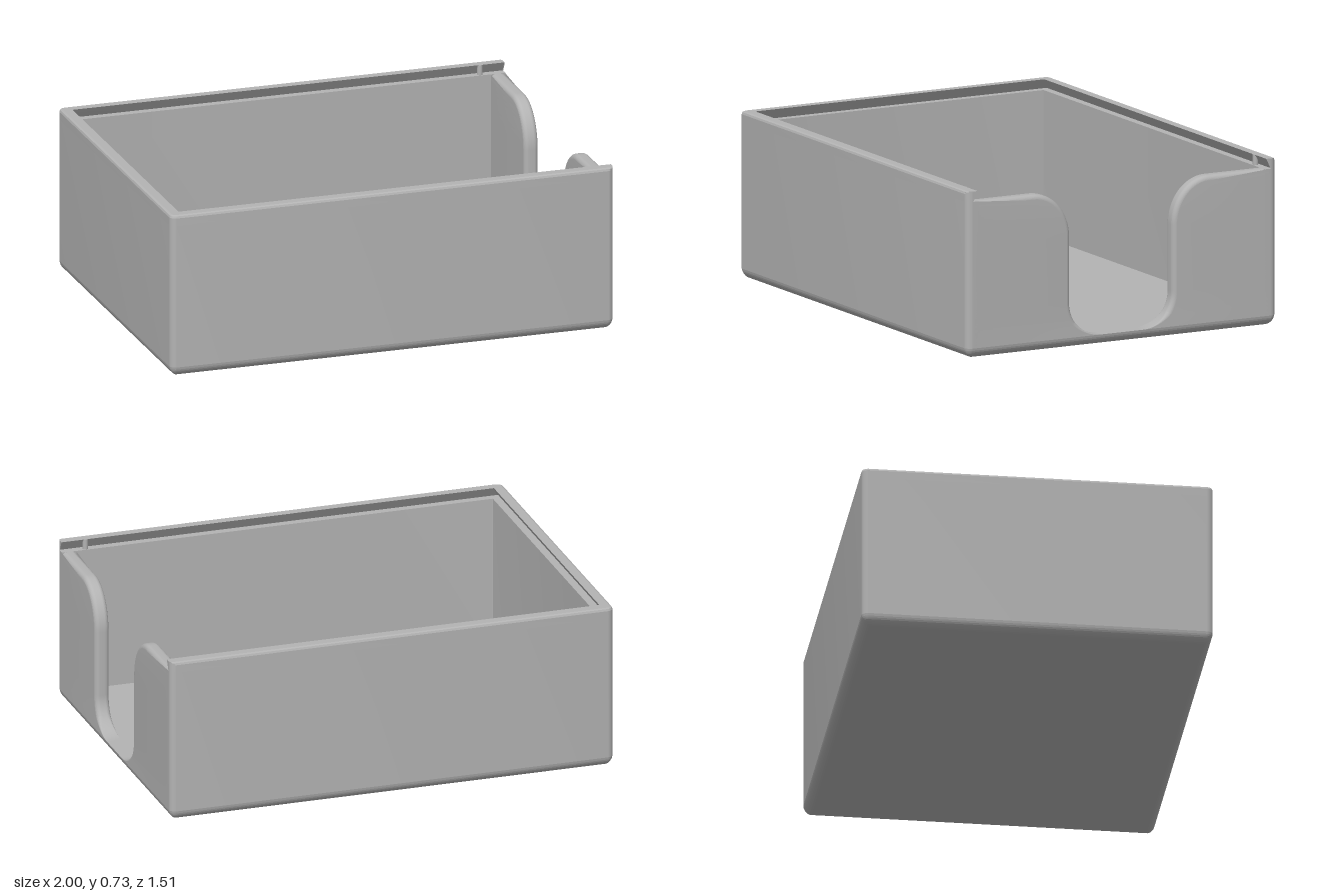
import * as THREE from 'three';
import { toCreasedNormals } from 'three/addons/utils/BufferGeometryUtils.js';

const W = 1, D = 0.757;          // half length and half depth
const FLOOR = 0.045, LEDGE = 0.685, TOP = 0.73;
const WALL = 0.058;              // wall thickness
const R = 0.03;                  // radius of upright corners
const SEG = 10;
const HALF_PI = Math.PI / 2;

// Skin between closed loops of points, turned so that it faces outward.
function loft(rows) {
  const n = rows[0].length;
  const pts = rows.flat();
  const index = [];
  for (let i = 0; i < rows.length - 1; i++) {
    for (let j = 0; j < n; j++) {
      const a = i * n + j, b = i * n + (j + 1) % n;
      index.push(a, b, b + n, a, b + n, a + n);
    }
  }
  const mid = centre(pts);
  const p = pts.map((v) => v.clone().sub(mid));
  let volume = 0;
  for (let i = 0; i < index.length; i += 3) {
    volume += p[index[i]].dot(p[index[i + 1]].clone().cross(p[index[i + 2]]));
  }
  if (volume < 0) index.reverse();
  const geo = new THREE.BufferGeometry().setFromPoints(pts);
  geo.setIndex(index);
  return toCreasedNormals(geo, 0.12);
}

function centre(pts) {
  return pts.reduce((s, v) => s.add(v), new THREE.Vector3()).divideScalar(pts.length);
}

// Close the first and last loop with a fan.
function capped(rows) {
  const fan = (row) => { const c = centre(row); return row.map(() => c.clone()); };
  return [fan(rows[0]), ...rows, fan(rows[rows.length - 1])];
}

// Corner of the plan, inset by d, at angle a.
function cornerPoint(sx, sz, a, d, y) {
  const rad = Math.max(R - d, 0.0005);
  return new THREE.Vector3(
    sx * (W - d - rad + rad * Math.cos(a)), y,
    sz * (D - d - rad + rad * Math.sin(a)));
}

// Floor slab with a rounded lower edge.
function baseGeometry() {
  const ring = (d, y) => {
    const row = [];
    [[1, 1], [-1, 1], [-1, -1], [1, -1]].forEach(([sx, sz]) => {
      for (let k = 0; k <= SEG; k++) {
        const t = sx * sz > 0 ? k : SEG - k;
        row.push(cornerPoint(sx, sz, t / SEG * HALF_PI, d, y));
      }
    });
    return row;
  };
  const rows = [], r = 0.05;
  for (let k = 0; k <= SEG; k++) {
    const a = k / SEG * HALF_PI;
    rows.push(ring(r - r * Math.sin(a), Math.min(r - r * Math.cos(a), FLOOR)));
  }
  return loft(capped(rows));
}

// Sweep a profile of [inset, y] round the front, left and back sides.
function sweepGeometry(profile) {
  const rows = [];
  const end = (sz, k) => {
    const a = k / SEG * HALF_PI, cut = R - R * Math.cos(a);
    rows.push(profile.map(([d, y]) => new THREE.Vector3(
      W - R + R * Math.sin(a), y, sz * (D - Math.max(d, cut)))));
  };
  const corner = (sz, k) => rows.push(profile.map(([d, y]) =>
    cornerPoint(-1, sz, k / SEG * HALF_PI, d, y)));
  for (let k = SEG; k >= 0; k--) end(1, k);
  for (let k = SEG; k >= 0; k--) corner(1, k);
  for (let k = 0; k <= SEG; k++) corner(-1, k);
  for (let k = 0; k <= SEG; k++) end(-1, k);
  return loft(capped(rows));
}

// Half of the open end: from the curved finger cut-out to the side wall.
function endWallGeometry(side) {
  const edge = [], N = 24, zEnd = 0.72, xIn = W - 0.065;
  for (let k = 0; k <= N; k++) {
    const a = -HALF_PI + k / N * HALF_PI;
    edge.push([0.1 + 0.15 * Math.cos(a), FLOOR + 0.15 + 0.15 * Math.sin(a), Math.cos(a), Math.sin(a)]);
  }
  for (let k = 0; k <= N; k++) {
    const a = k / N * HALF_PI;
    edge.push([0.43 - 0.18 * Math.cos(a), 0.485 + 0.2 * Math.sin(a), Math.cos(a), -Math.sin(a)]);
  }
  edge.push([zEnd, LEDGE, 0, -1]);
  const rows = edge.map(([z, y, nz, ny]) => {
    const e = 0.022 * Math.min((y - FLOOR) / 0.066, 1);   // rounding fades out at the floor
    const row = [new THREE.Vector3(xIn, y, side * zEnd)];
    const add = (x, inset) => row.push(new THREE.Vector3(x, y + ny * inset, side * (z + nz * inset)));
    for (let k = 0; k <= SEG; k++) {
      const a = k / SEG * HALF_PI;
      add(xIn + e - e * Math.cos(a), e - e * Math.sin(a));
    }
    for (let k = SEG; k >= 0; k--) {
      const a = k / SEG * HALF_PI;
      add(W - e + e * Math.cos(a), e - e * Math.sin(a));
    }
    row.push(new THREE.Vector3(W, y, side * zEnd));
    return row;
  });
  return loft(rows);
}

export function createModel() {
  const group = new THREE.Group();
  group.name = 'slidingLidBox';
  const grey = new THREE.MeshStandardMaterial({ color: 0xb3b3b3 });
  grey.name = 'grey';
  const add = (name, geo) => {
    const mesh = new THREE.Mesh(geo, grey);
    mesh.name = name;
    group.add(mesh);
    return mesh;
  };

  add('base', baseGeometry());
  add('walls', sweepGeometry([[0, FLOOR], [0, LEDGE], [WALL, LEDGE], [WALL, FLOOR]]));

  // Overhanging lip that forms the lid groove
  add('grooveLip', sweepGeometry([
    [0, LEDGE], [0, TOP - 0.012], [0.0035, TOP - 0.0035], [0.012, TOP], [0.051, TOP], [0.023, LEDGE],
  ]));

  [1, -1].forEach((side) => {
    const label = side > 0 ? 'front' : 'back';
    add(label + 'EndWall', endWallGeometry(side));
    // Small catch that holds the lid shut
    const catchPin = add(label + 'LidCatch', new THREE.CylinderGeometry(0.012, 0.012, TOP - LEDGE, 20));
    catchPin.position.set(0.89, (TOP + LEDGE) / 2, side * (D - 0.043));
  });
  return group;
}
